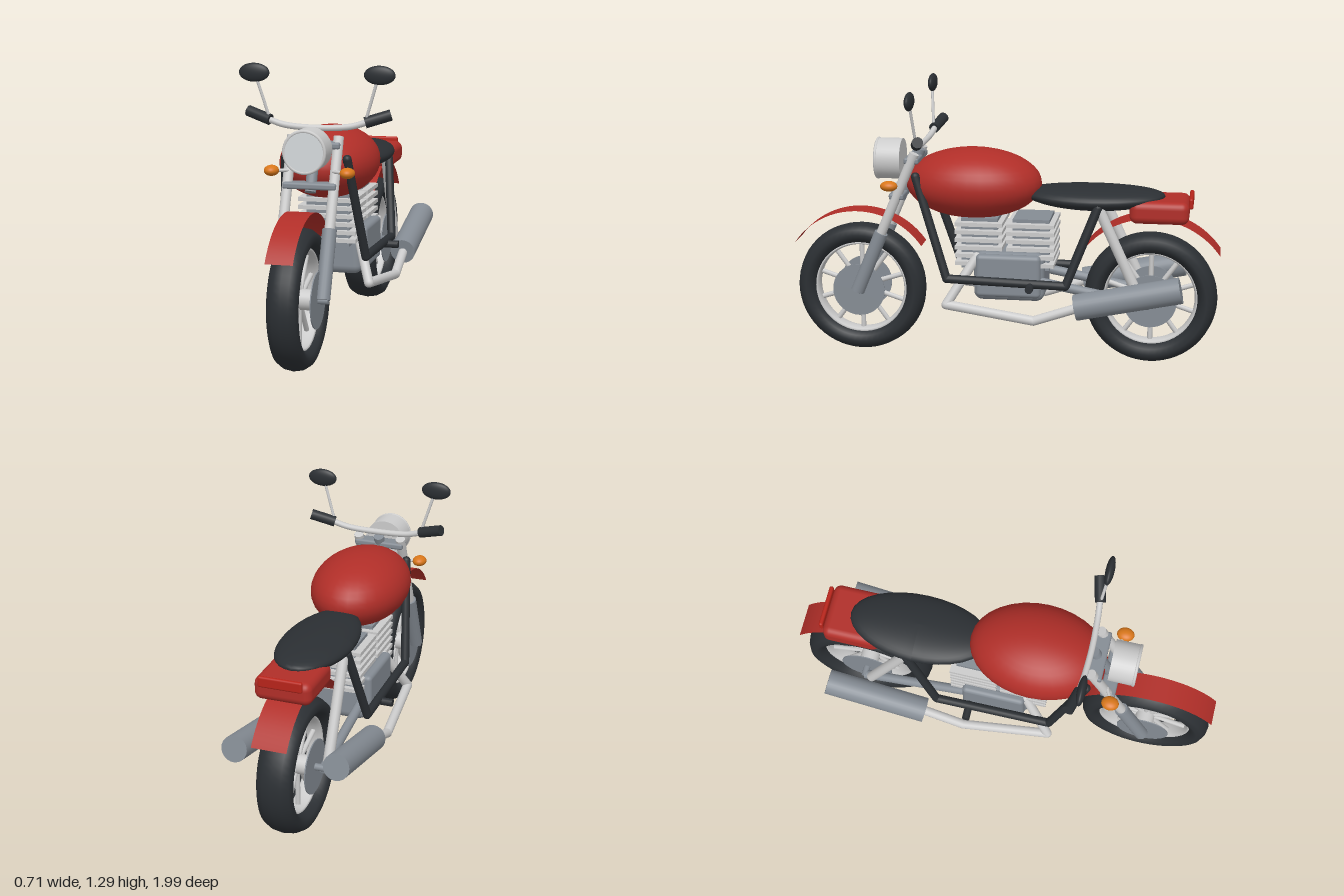
import * as THREE from 'three';
import { RoundedBoxGeometry } from 'three/addons/geometries/RoundedBoxGeometry.js';

const mat = (color, side = THREE.FrontSide) => new THREE.MeshStandardMaterial({ color, side });
const RED = mat(0xb02e28), RED_SHELL = mat(0xb02e28, THREE.DoubleSide), LAMP = mat(0xb8241a);
const BLACK = mat(0x2b2f33), STEEL = mat(0xcccccc), IRON = mat(0x858c94), ORANGE = mat(0xd9771a);
const V = (x, y, z) => new THREE.Vector3(x, y, z);

export function createModel() {
  const model = new THREE.Group();
  model.name = 'motorcycle';

  const add = (name, geometry, material, pos = [0, 0, 0], parent = model) => {
    const m = new THREE.Mesh(geometry, material);
    m.name = name;
    m.position.set(...pos);
    parent.add(m);
    return m;
  };
  const ellipsoid = (name, material, pos, radii, parent) =>
    add(name, new THREE.SphereGeometry(1, 32, 20).scale(...radii), material, pos, parent);
  // Straight rod between two points
  const rod = (name, a, b, r, material, parent, sides = 16) => {
    const p = V(...a), q = V(...b);
    const m = add(name, new THREE.CylinderGeometry(r, r, p.distanceTo(q), sides), material,
      p.clone().add(q).multiplyScalar(0.5).toArray(), parent);
    m.quaternion.setFromUnitVectors(V(0, 1, 0), q.sub(p).normalize());
    return m;
  };
  // Chain of rods with ball joints
  const pipe = (name, pts, r, material) => {
    const g = new THREE.Group();
    g.name = name;
    model.add(g);
    pts.forEach((p, i) => {
      add(name + 'Joint', new THREE.SphereGeometry(r, 14, 10), material, p, g);
      if (i) rod(name + 'Section', pts[i - 1], p, r, material, g);
    });
  };

  // Wheels
  const wheel = (name, z, halfWidth) => {
    const g = new THREE.Group();
    g.name = name;
    g.position.set(0, 0.308, z);
    model.add(g);
    const ring = (part, R, r, w, m) => add(part, new THREE.TorusGeometry(R, r, 12, 56)
      .scale(1, 1, w / r).rotateY(Math.PI / 2), m, [0, 0, 0], g);
    ring('tyre', 0.26, 0.048, halfWidth, BLACK);
    ring('rim', 0.216, 0.012, 0.04, STEEL);
    for (let i = 0; i < 10; i++) {
      const a = Math.PI / 2 + i * Math.PI / 5, c = Math.cos(a), s = Math.sin(a);
      rod('spoke', [0, 0.03 * s, 0.03 * c], [0, 0.215 * s, 0.215 * c], 0.012, STEEL, g, 8);
    }
    rod('hub', [-0.06, 0, 0], [0.06, 0, 0], 0.045, STEEL, g, 24);
    rod('axle', [-0.13, 0, 0], [0.13, 0, 0], 0.016, IRON, g);
    for (const s of [-1, 1])
      rod('brakeDisc', [s * 0.08, 0, 0], [s * 0.085, 0, 0], 0.124, IRON, g, 36);
  };
  wheel('frontWheel', 0.69, 0.07);
  wheel('rearWheel', -0.68, 0.085);

  // Thin curved mudguards
  const fender = (name, z, r, halfWidth, from, to) => {
    const g = new THREE.CylinderGeometry(r, r, halfWidth * 2, 32, 1, true, from, to - from);
    add(name, g.rotateZ(Math.PI / 2), RED_SHELL, [0, 0.313, z]);
  };
  const deg = Math.PI / 180;
  // After the turn, angle 90 degrees points to -y or +y, so the arc is centred on 270
  fender('frontFender', 0.695, 0.37, 0.06, 215 * deg, 325 * deg);
  fender('rearFender', -0.68, 0.384, 0.08, 215 * deg, 325 * deg);
  for (const f of model.children.filter(c => c.name.endsWith('Fender'))) {
    // Keep the arc above the wheel
    f.geometry.computeBoundingBox();
    if (f.geometry.boundingBox.max.y < 0.3) f.geometry.rotateX(Math.PI);
  }

  // Tank and seat
  ellipsoid('tank', RED, [0, 0.828, 0.15], [0.223, 0.163, 0.318]);
  const seat = ellipsoid('seat', BLACK, [0, 0.776, -0.41], [0.165, 0.056, 0.328]);
  const sp = seat.geometry.attributes.position;
  for (let i = 0; i < sp.count; i++) {
    const z = sp.getZ(i) / 0.328;
    sp.setY(i, sp.getY(i) + 0.012 * z * z);
  }
  seat.geometry.computeVertexNormals();

  // Tail
  add('tail', new RoundedBoxGeometry(0.26, 0.105, 0.27, 4, 0.035), RED, [0, 0.732, -0.715]);
  add('tailLight', new RoundedBoxGeometry(0.2, 0.05, 0.02, 3, 0.009), LAMP, [0, 0.776, -0.857]);

  // Headlight
  rod('headlight', [0, 0.93, 0.485], [0, 0.93, 0.6], 0.095, STEEL, model, 40);
  add('headlightRing', new THREE.TorusGeometry(0.09, 0.008, 10, 40), STEEL, [0, 0.93, 0.6]);
  rod('headlightLens', [0, 0.93, 0.6], [0, 0.93, 0.606], 0.085, mat(0xd5d9dc), model, 40);

  // Fork bridges and steering stem
  add('upperClamp', new RoundedBoxGeometry(0.24, 0.03, 0.07, 2, 0.01), IRON, [0, 0.94, 0.425]);
  add('lowerClamp', new RoundedBoxGeometry(0.24, 0.03, 0.07, 2, 0.01), IRON, [0, 0.77, 0.497]);
  rod('steeringStem', [0, 0.98, 0.4], [0, 0.74, 0.5], 0.025, IRON);

  // Handlebar
  const bar = new THREE.CatmullRomCurve3([V(-0.23, 1.04, 0.374), V(-0.15, 1.017, 0.382),
    V(0, 1.008, 0.388), V(0.15, 1.017, 0.382), V(0.23, 1.04, 0.374)]);
  add('handlebar', new THREE.TubeGeometry(bar, 32, 0.014, 12), STEEL);

  // Engine with two finned cylinders
  add('crankcase', new RoundedBoxGeometry(0.28, 0.23, 0.33, 3, 0.04), IRON, [0, 0.41, -0.03]);
  for (const z of [0.11, -0.13]) {
    add('cylinderBlock', new THREE.BoxGeometry(0.2, 0.24, 0.17), IRON, [0, 0.56, z]);
    for (let i = 0; i < 6; i++)
      add('coolingFin', new THREE.BoxGeometry(0.27, 0.018, 0.22), STEEL, [0, 0.47 + i * 0.037, z]);
  }

  // Mirrored parts
  for (const s of [-1, 1]) {
    add('engineCover', new RoundedBoxGeometry(0.05, 0.2, 0.3, 3, 0.02), IRON, [s * 0.14, 0.42, -0.03]);

    rod('forkTube', [s * 0.105, 0.975, 0.41], [s * 0.105, 0.5, 0.612], 0.023, STEEL);
    rod('forkSlider', [s * 0.105, 0.595, 0.572], [s * 0.105, 0.31, 0.69], 0.032, IRON);

    rod('grip', [s * 0.325, 1.07, 0.35], [s * 0.215, 1.036, 0.378], 0.025, BLACK);
    rod('mirrorStem', [s * 0.22, 1.05, 0.38], [s * 0.27, 1.215, 0.394], 0.007, STEEL, model, 8);
    ellipsoid('mirror', BLACK, [s * 0.283, 1.246, 0.394], [0.07, 0.042, 0.02]);

    rod('signalStalk', [s * 0.1, 0.833, 0.49], [s * 0.16, 0.833, 0.518], 0.008, STEEL, model, 8);
    ellipsoid('turnSignal', ORANGE, [s * 0.17, 0.833, 0.518], [0.033, 0.024, 0.04]);

    pipe('frame', [[s * 0.14, 0.875, 0.4], [s * 0.19, 0.41, 0.25],
      [s * 0.19, 0.395, -0.3], [s * 0.145, 0.755, -0.44]], 0.02, BLACK);
    rod('footPeg', [s * 0.17, 0.39, -0.14], [s * 0.258, 0.39, -0.14], 0.018, BLACK);

    rod('swingArm', [s * 0.12, 0.4, -0.13], [s * 0.12, 0.3, -0.68], 0.022, IRON);
    rod('rearShock', [s * 0.13, 0.755, -0.44], [s * 0.13, 0.31, -0.645], 0.024, STEEL);

    pipe('exhaustPipe', [[s * 0.12, 0.5, 0.12], [s * 0.205, 0.29, 0.25],
      [s * 0.24, 0.24, -0.16], [s * 0.235, 0.315, -0.38]], 0.022, STEEL);
    rod('muffler', [s * 0.235, 0.31, -0.35], [s * 0.235, 0.41, -0.825], 0.06, IRON, model, 28);
  }
  return model;
}
